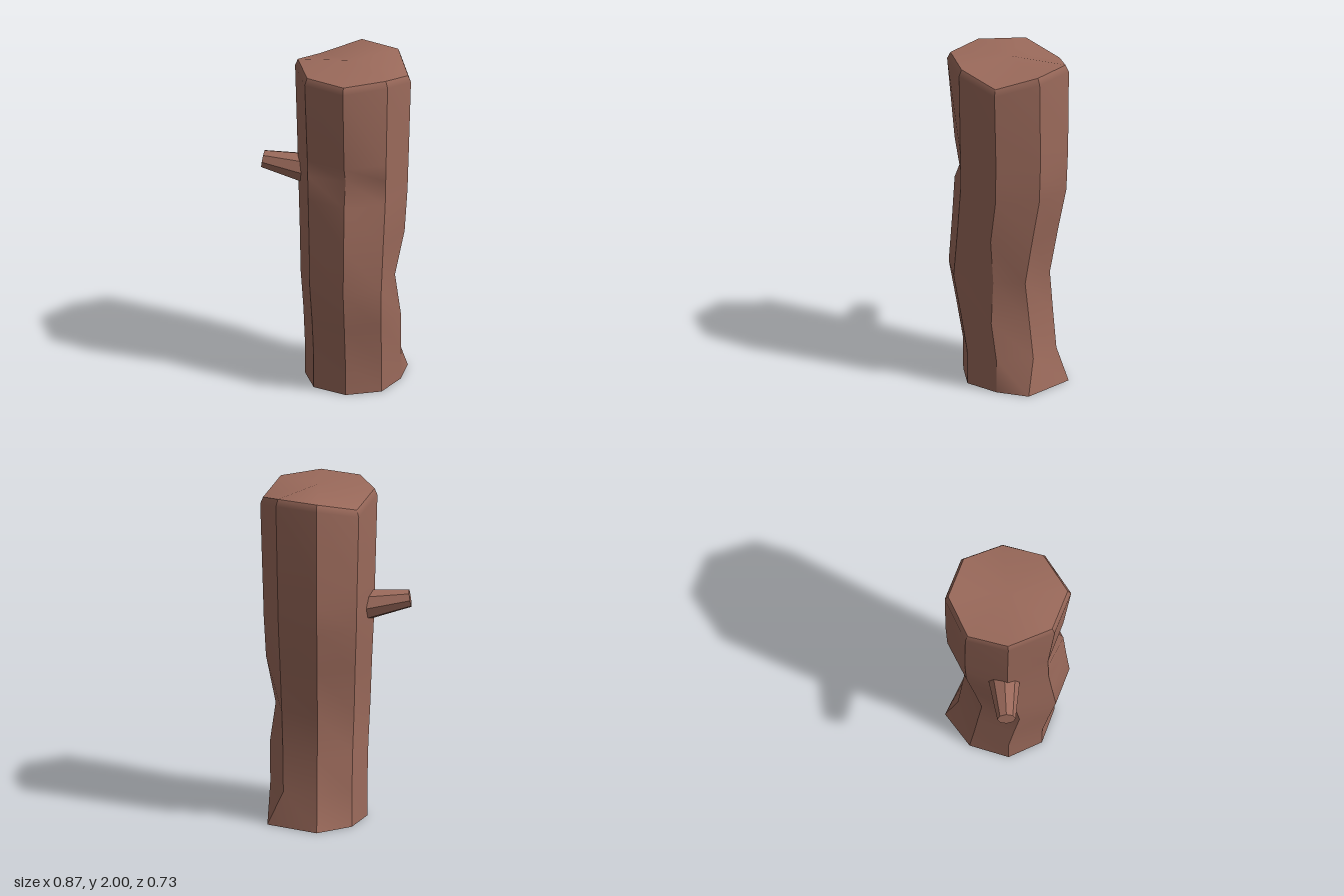
import * as THREE from 'three';

const SIDES = 8;
const CENTRE_X = 0.1;

// Trunk cross-sections from the ground up: height, x radius, z radius, z centre
const RINGS = [
  [0, 0.28, 0.278, -0.01],
  [0.2, 0.28, 0.28, -0.01],
  [0.43, 0.284, 0.29, 0.02],
  [0.67, 0.295, 0.303, 0.052],
  [0.95, 0.306, 0.318, 0.017],
  [1.2, 0.318, 0.335, -0.015],
  [1.35, 0.322, 0.338, -0.018],
  [1.45, 0.325, 0.34, -0.02],
  [1.94, 0.338, 0.365, 0],
  [1.98, 0.322, 0.345, 0],
];

// Knocks and flares: ring, corner (0 = +x, 2 = front, 4 = -x, 6 = back), dx, dy, dz
const DENTS = [
  [0, 5, 0, 0, -0.025], [0, 6, 0, 0, -0.075], [0, 7, 0.092, 0, 0],
  [3, 0, -0.045, 0, -0.035],
  [6, 2, 0, 0, -0.055],
  [8, 0, 0, -0.06, -0.015], [8, 1, 0, 0, -0.033], [8, 4, 0, 0, -0.015], [8, 5, 0, -0.06, 0],
  [9, 0, 0, -0.06, -0.015], [9, 1, 0, 0, -0.03], [9, 4, 0, 0, -0.015], [9, 5, 0, -0.06, 0],
];

function trunkCorners() {
  const rings = RINGS.map(([y, rx, rz, cz]) =>
    Array.from({ length: SIDES }, (_, i) => {
      const a = (i / SIDES) * Math.PI * 2;
      return new THREE.Vector3(CENTRE_X + rx * Math.cos(a), y, cz + rz * Math.sin(a));
    }));
  for (const [k, i, dx, dy, dz] of DENTS) rings[k][i].add(new THREE.Vector3(dx, dy, dz));
  return rings;
}

function buildGeometry(points, index) {
  const g = new THREE.BufferGeometry().setFromPoints(points);
  g.setIndex(index);
  g.computeVertexNormals();
  return g;
}

// Bark: each side is its own strip, smooth along its height and sharp at its edges
function barkGeometry(rings) {
  const points = [], index = [];
  for (let i = 0; i < SIDES; i++) {
    const start = points.length;
    rings.forEach(r => points.push(r[i], r[(i + 1) % SIDES]));
    for (let k = 0; k < rings.length - 1; k++) {
      const a = start + k * 2, b = a + 1, d = a + 2, c = a + 3;
      index.push(a, d, c, a, c, b);
    }
  }
  return buildGeometry(points, index);
}

// End of the trunk: a fan around a centre point
function capGeometry(ring, centre, up) {
  const index = [];
  for (let i = 0; i < SIDES; i++) {
    const a = i + 1, b = ((i + 1) % SIDES) + 1;
    index.push(0, up ? b : a, up ? a : b);
  }
  return buildGeometry([centre, ...ring], index);
}

export function createModel() {
  const model = new THREE.Group();
  model.name = 'treeTrunk';

  const wood = new THREE.MeshStandardMaterial({ color: 0x9b6a5b });
  wood.name = 'brown wood';
  const facetedWood = wood.clone();
  facetedWood.flatShading = true;

  const add = (name, geometry, material = wood) => {
    const mesh = new THREE.Mesh(geometry, material);
    mesh.name = name;
    model.add(mesh);
    return mesh;
  };

  const rings = trunkCorners();
  add('bark', barkGeometry(rings));
  add('cutTop', capGeometry(rings[rings.length - 1], new THREE.Vector3(CENTRE_X, 2, 0), true));
  add('base', capGeometry(rings[0], new THREE.Vector3(CENTRE_X, 0, -0.01), false));

  // Branch stub, tapering outwards and tilted slightly up
  const inner = new THREE.Vector3(-0.08, 1.269, -0.035);
  const outer = new THREE.Vector3(-0.428, 1.325, -0.035);
  const axis = outer.clone().sub(inner);
  const branch = add('branchStub',
    new THREE.CylinderGeometry(0.053, 0.105, axis.length(), SIDES), facetedWood);
  branch.position.copy(inner).add(outer).multiplyScalar(0.5);
  branch.rotation.z = Math.atan2(-axis.x, axis.y);

  return model;
}
